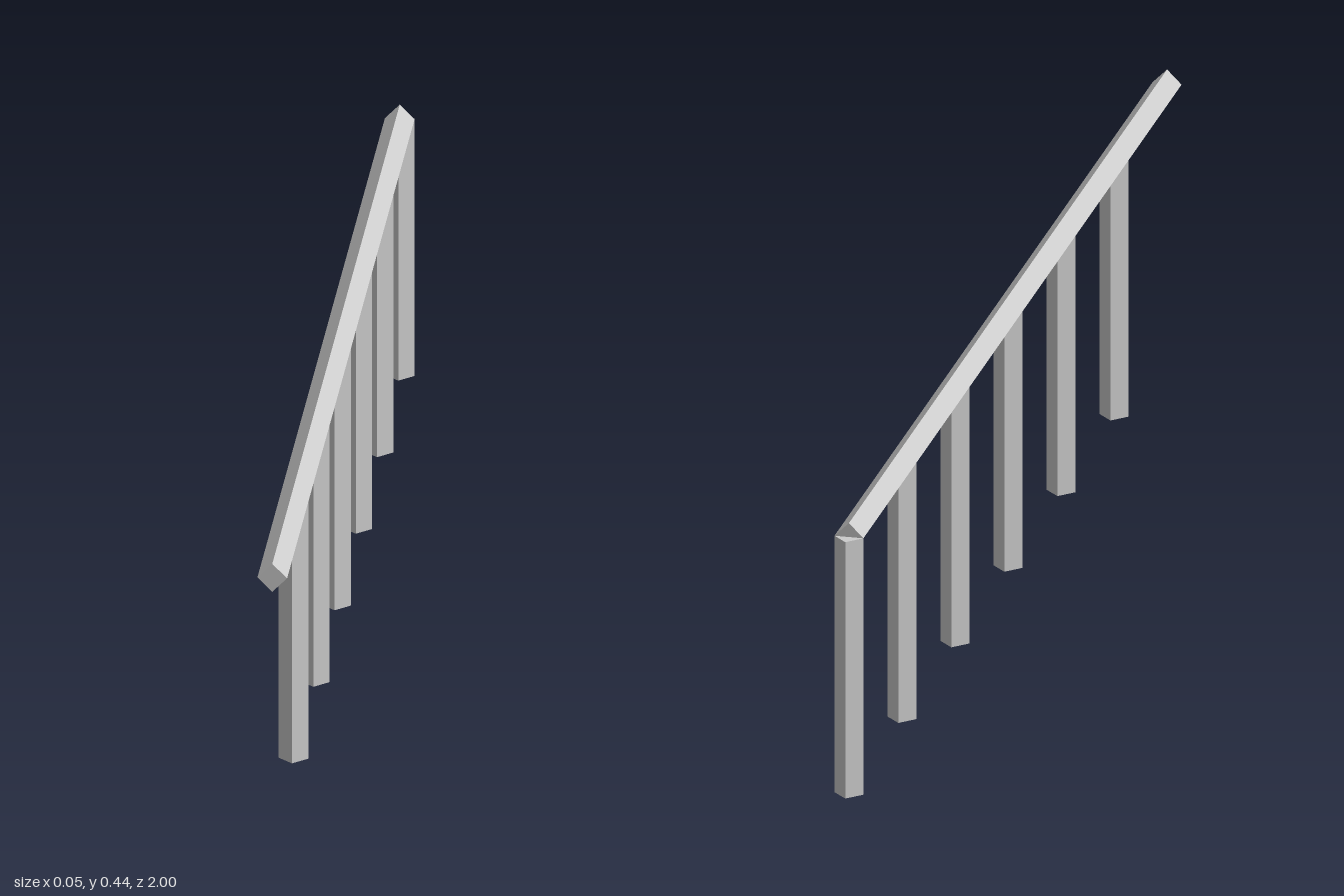
import * as THREE from 'three';

export function createModel() {
  const group = new THREE.Group();
  const material = new THREE.MeshStandardMaterial({ color: 0xcccccc, flatShading: true });

  const radius = 0.0225;   // half diagonal of the square bars
  const railY = 0.414;     // centre line of the rail
  const backZ = -1 + radius;
  const railLength = 1 - backZ;
  const postCount = 6;

  // Square bar standing on its edge, one corner facing each axis
  const bar = (name, length) => {
    const mesh = new THREE.Mesh(new THREE.CylinderGeometry(radius, radius, length, 4), material);
    mesh.name = name;
    group.add(mesh);
    return mesh;
  };

  // Long horizontal rail, overhanging one bay at the front
  const rail = bar('rail', railLength);
  rail.rotation.x = Math.PI / 2;
  rail.position.set(0, railY, backZ + railLength / 2);

  // Evenly spaced posts reaching the rail's centre line
  for (let i = 0; i < postCount; i++) {
    const post = bar(`post${i + 1}`, railY);
    post.position.set(0, railY / 2, backZ + (i * railLength) / postCount);
  }

  return group;
}
